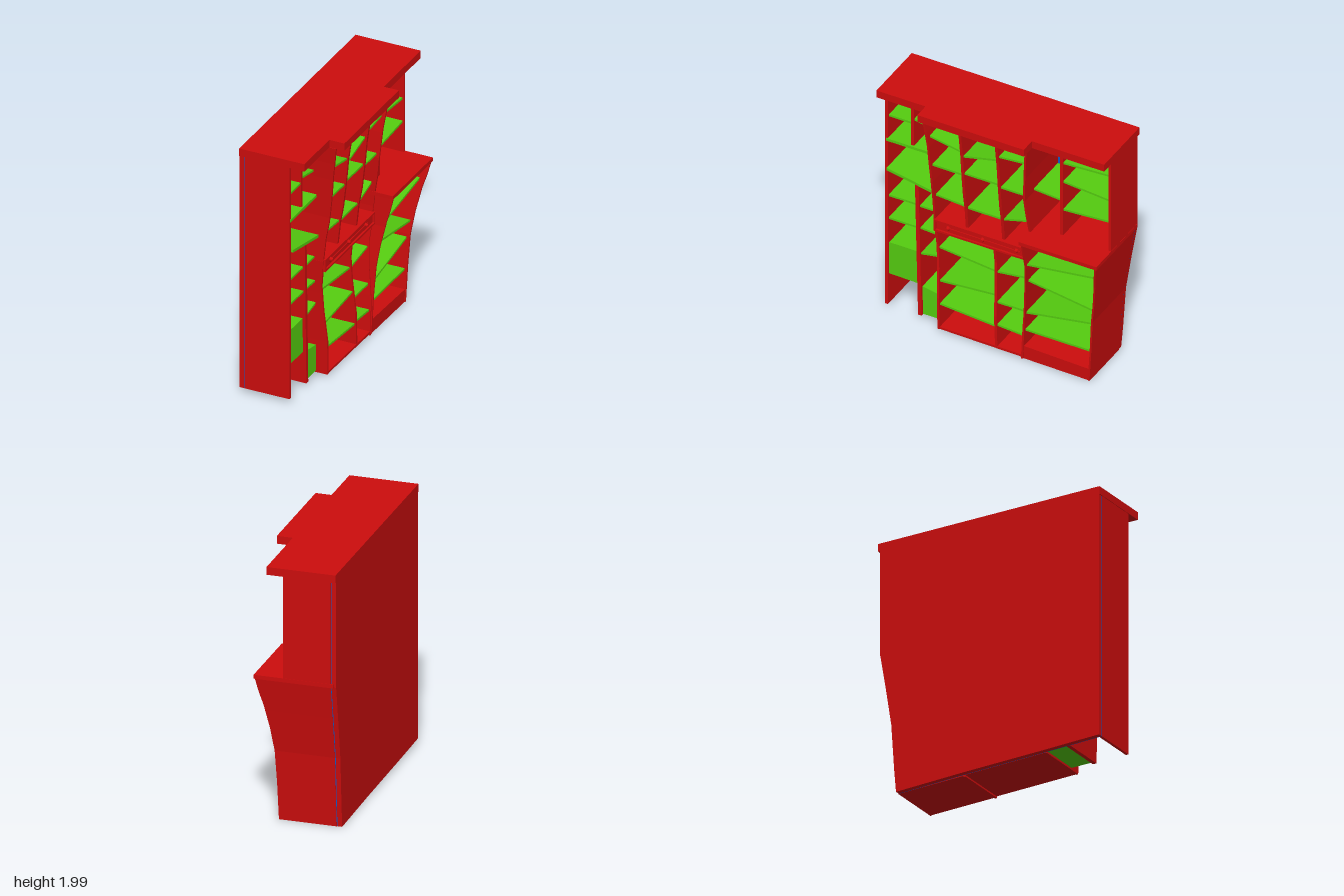
import * as THREE from 'three';

const red = new THREE.MeshStandardMaterial({ color: 0xcc0d0d });
red.name = 'red paint';
const green = new THREE.MeshStandardMaterial({ color: 0x55cc10 });
green.name = 'green paint';
const blue = new THREE.MeshStandardMaterial({ color: 0x0f59cc });
blue.name = 'blue paint';

const BACK = -0.28; // front face of the back panel

// Front-edge profiles of the sections, as [y, x] pairs
const upperMid = [[0.97, 0.135], [1.16, 0.155], [1.3, 0.18], [1.47, 0.2], [1.69, 0.22], [1.94, 0.255]];
const lowerMid = [[0.03, 0.15], [0.3, 0.15], [0.55, 0.125], [0.75, 0.115], [0.9, 0.13], [0.97, 0.135]];
const bulge = [[0.01, 0.155], [0.3, 0.162], [0.55, 0.175], [0.73, 0.2], [0.92, 0.24], [1.02, 0.27], [1.13, 0.295]];
const flat = [[0, 0.08], [2, 0.08]];

// Linear interpolation in a list of [key, value] pairs
function at(list, k) {
  if (k <= list[0][0]) return list[0][1];
  for (let i = 1; i < list.length; i++) {
    const [k0, v0] = list[i - 1], [k1, v1] = list[i];
    if (k <= k1) return v0 + (v1 - v0) * (k - k0) / (k1 - k0);
  }
  return list[list.length - 1][1];
}

export function createModel() {
  const model = new THREE.Group();
  model.name = 'crookedBookcase';

  function add(name, geometry, material) {
    const mesh = new THREE.Mesh(geometry, material);
    mesh.name = name;
    model.add(mesh);
    return mesh;
  }

  function box(name, x0, x1, y0, y1, z0, z1, material = red) {
    const g = new THREE.BoxGeometry(x1 - x0, y1 - y0, Math.abs(z1 - z0));
    g.translate((x0 + x1) / 2, (y0 + y1) / 2, (z0 + z1) / 2);
    return add(name, g, material);
  }

  // Outline in [z, y], given depth from x0 to x1
  function slab(name, points, x0, x1, material) {
    const shape = new THREE.Shape(points.map(([z, y]) => new THREE.Vector2(-z, y)));
    const g = new THREE.ExtrudeGeometry(shape, { depth: x1 - x0, bevelEnabled: false });
    g.rotateY(Math.PI / 2).translate(x0, 0, 0);
    return add(name, g, material);
  }

  // Upright board: path of [y, z] centres, its front following a profile
  function upright(name, path, profile, thick, inset = 0) {
    const y0 = path[0][0], y1 = path[path.length - 1][0];
    const ys = [...new Set([...path, ...profile].map(p => p[0]).filter(y => y >= y0 && y <= y1))];
    ys.sort((a, b) => a - b);
    const pos = [], index = [], t = thick / 2;
    for (const y of ys) {
      const z = at(path, y), x = at(profile, y) - inset;
      pos.push(BACK, y, z + t, x, y, z + t, x, y, z - t, BACK, y, z - t);
    }
    for (let r = 0; r < ys.length - 1; r++) {
      for (let c = 0; c < 4; c++) {
        const a = r * 4 + c, b = r * 4 + (c + 1) % 4;
        index.push(a, b, b + 4, a, b + 4, a + 4);
      }
    }
    const e = (ys.length - 1) * 4;
    index.push(0, 2, 1, 0, 3, 2, e, e + 1, e + 2, e, e + 2, e + 3);
    const indexed = new THREE.BufferGeometry();
    indexed.setAttribute('position', new THREE.Float32BufferAttribute(pos, 3));
    indexed.setIndex(index);
    const g = indexed.toNonIndexed();
    g.computeVertexNormals();
    return add(name, g, red);
  }

  // Slanted shelves: [z0, y0, z1, y1]
  function shelves(name, list, profile, inset, thick = 0.016) {
    for (const [z0, y0, z1, y1] of list) {
      const t = thick / 2;
      const front = at(profile, Math.min(y0, y1)) - inset;
      slab(name, [[z0, y0 - t], [z1, y1 - t], [z1, y1 + t], [z0, y0 + t]], BACK, front, green);
    }
  }

  // Back panel, red outside with a blue lining
  const outline = [[0.925, 0.045], [0.46, 0.035], [-0.22, 0.025], [-0.78, 0.01], [-0.795, 0.18],
    [-0.82, 0.55], [-0.87, 0.87], [-0.915, 1.13], [-0.915, 1.94], [0.925, 1.94]];
  slab('backPanel', outline, -0.32, BACK - 0.005, red);
  slab('backLining', outline, BACK - 0.005, BACK, blue);

  // Stepped top
  const top = new THREE.Shape([[-0.32, -0.93], [0.2, -0.93], [0.2, -0.53], [0.32, -0.53],
    [0.32, 0.34], [0.2, 0.34], [0.2, 0.93], [-0.32, 0.93]].map(p => new THREE.Vector2(...p)));
  const topGeo = new THREE.ExtrudeGeometry(top, { depth: 0.06, bevelEnabled: false });
  topGeo.rotateX(-Math.PI / 2).translate(0, 1.94, 0);
  add('top', topGeo, red);

  // Uprights of the straight end section
  upright('endPanel', [[0.045, 0.915], [1.94, 0.915]], flat, 0.022);
  upright('smallDivider', [[1.5, 0.708], [1.94, 0.708]], flat, 0.024, 0.01);
  upright('lowerDivider', [[0.04, 0.642], [0.6, 0.655], [1.2, 0.668]], flat, 0.03);

  // Curved uprights of the middle section
  upright('curvedUpright', [[0.97, 0.492], [1.34, 0.488], [1.66, 0.5], [1.8, 0.512], [1.94, 0.527]], upperMid, 0.016);
  upright('curvedUpright', [[0.97, -0.302], [1.13, -0.297], [1.45, -0.275], [1.66, -0.287], [1.94, -0.318]], upperMid, 0.016);
  for (const z of [0.233, -0.064]) upright('middleDivider', [[0.97, z], [1.94, z]], upperMid, 0.022, 0.015);
  upright('curvedLowerUpright', [[0.03, 0.451], [0.3, 0.456], [0.7, 0.475], [0.97, 0.492]], lowerMid, 0.018);
  upright('curvedLowerUpright', [[0.01, -0.23], [0.33, -0.245], [0.6, -0.265], [0.88, -0.297], [1.13, -0.302]], lowerMid, 0.016);
  upright('lowerMiddleDivider', [[0.03, -0.018], [0.45, -0.004], [0.9, 0.01]], lowerMid, 0.02, 0.005);

  // Uprights of the bulging section
  upright('upperEndPanel', [[1.14, -0.91], [1.94, -0.91]], flat, 0.02);
  upright('upperDivider', [[1.14, -0.513], [1.94, -0.513]], flat, 0.024, 0.005);
  upright('bulgingEndPanel', [[0.01, -0.778], [0.18, -0.79], [0.55, -0.815], [0.87, -0.865], [1.13, -0.908]], bulge, 0.014);
  upright('bulgingInnerPanel', [[0.02, -0.236], [0.33, -0.252], [0.6, -0.272], [0.88, -0.304], [1.13, -0.308]], bulge, 0.012);
  box('counter', -0.3, 0.3, 1.125, 1.155, -0.285, -0.922);

  // Floors
  slab('middleFloor', [[0.46, 0.033], [-0.225, 0.023], [-0.225, 0.042], [0.46, 0.05]], BACK, 0.148, red);
  slab('plinth', [[-0.228, 0.018], [-0.782, 0.01], [-0.79, 0.11], [-0.235, 0.127]], BACK, 0.15, red);

  // Drawer band with raised frame, grooved rail and knobs
  box('drawerBand', BACK, 0.135, 0.885, 0.985, 0.493, -0.308);
  for (const y of [0.885, 0.97]) box('drawerFrame', 0.135, 0.15, y, y + 0.015, 0.493, -0.308);
  for (const z of [0.485, -0.3]) box('drawerFrame', 0.135, 0.15, 0.9, 0.97, z + 0.008, z - 0.008);
  box('drawerRail', 0.135, 0.142, 0.931, 0.939, 0.39, -0.21);
  for (const z of [0.382, 0.1, -0.175]) {
    const g = new THREE.CylinderGeometry(0.012, 0.018, 0.022, 8);
    g.rotateZ(-Math.PI / 2).translate(0.146, 0.935, z);
    add('knob', g, red);
  }

  // Shelves of the straight section
  shelves('endShelf', [
    [0.905, 1.703, 0.72, 1.703], [0.695, 1.74, 0.5, 1.703],
    [0.905, 0.997, 0.68, 0.997], [0.65, 0.992, 0.5, 0.992],
    [0.905, 0.796, 0.675, 0.796], [0.65, 0.8, 0.485, 0.79], [0.648, 0.575, 0.478, 0.605],
  ], flat, 0.015);
  shelves('endShelf', [[0.918, 1.5, 0.497, 1.5]], flat, -0.005, 0.022);
  shelves('endShelf', [[0.905, 1.25, 0.5, 1.172]], flat, -0.018, 0.022);

  // Closed green compartments
  slab('greenBox', [[0.905, 0.305], [0.672, 0.3], [0.68, 0.58], [0.905, 0.58]], BACK, 0.06, green);
  slab('greenBox', [[0.632, 0.045], [0.458, 0.045], [0.458, 0.255], [0.642, 0.287]], BACK, 0.06, green);

  // Shelves of the middle section
  shelves('upperShelf', [
    [0.497, 1.745, 0.24, 1.698], [0.222, 1.66, -0.056, 1.725], [-0.074, 1.77, -0.296, 1.788],
    [0.488, 1.485, 0.24, 1.483], [0.222, 1.5, -0.056, 1.5], [-0.074, 1.48, -0.276, 1.48],
    [0.488, 1.195, 0.24, 1.178], [0.222, 1.168, -0.056, 1.168], [-0.074, 1.172, -0.286, 1.23],
  ], upperMid, 0.025);
  shelves('lowerShelf', [
    [0.475, 0.718, 0.006, 0.668], [-0.004, 0.667, -0.27, 0.7],
    [0.458, 0.437, -0.001, 0.473], [-0.016, 0.415, -0.25, 0.415],
    [0.452, 0.244, -0.01, 0.208], [-0.02, 0.223, -0.235, 0.207],
  ], lowerMid, 0.015);

  // Shelves of the bulging section
  shelves('upperEndShelf', [
    [-0.525, 1.788, -0.902, 1.808], [-0.525, 1.623, -0.902, 1.59],
    [-0.525, 1.378, -0.902, 1.402], [-0.284, 1.475, -0.503, 1.458],
  ], flat, 0.01);
  shelves('bulgeShelf', [
    [-0.308, 0.908, -0.885, 0.987], [-0.29, 0.733, -0.832, 0.652],
    [-0.262, 0.426, -0.812, 0.52], [-0.25, 0.267, -0.795, 0.267],
  ], bulge, 0.02);

  return model;
}
